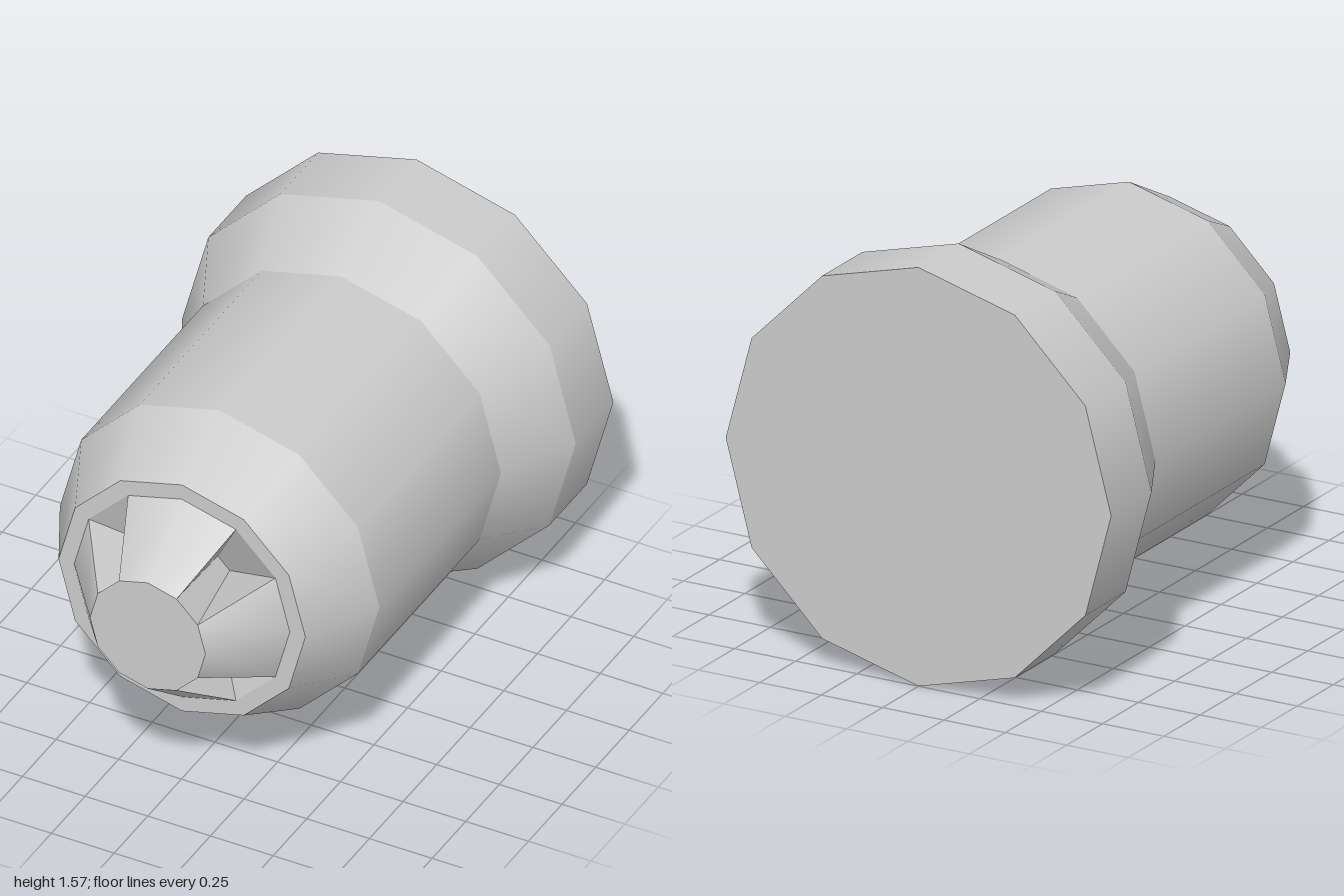
import * as THREE from 'three';

const SIDES = 12;
const DEG = Math.PI / 180;

export function createModel() {
  const model = new THREE.Group();
  const grey = new THREE.MeshStandardMaterial({ color: 0xcccccc });
  const faceted = new THREE.MeshStandardMaterial({ color: 0xcccccc, flatShading: true, side: THREE.DoubleSide });

  const add = (name, geometry, material = grey) => {
    const mesh = new THREE.Mesh(geometry, material);
    mesh.name = name;
    model.add(mesh);
  };

  // Open conical band running along z, from (r0, z0) at the back to (r1, z1)
  const band = (r0, z0, r1, z1, sides = SIDES, start = 0, length = Math.PI * 2) =>
    new THREE.CylinderGeometry(r1, r0, z1 - z0, sides, 1, true, start, length)
      .rotateX(Math.PI / 2)
      .translate(0, 0, (z0 + z1) / 2);

  // Body: wide base, taper, barrel and front bevel, with a hard edge between bands
  add('base', band(0.785, -1, 0.785, -0.72));
  add('baseTaper', band(0.785, -0.72, 0.637, -0.44));
  add('barrel', band(0.637, -0.44, 0.637, 0.465));
  add('frontBevel', band(0.637, 0.465, 0.492, 0.745));

  // Flat faces
  add('backFace', new THREE.CircleGeometry(0.785, SIDES).rotateY(Math.PI).translate(0, 0, -1));
  add('frontRim', new THREE.RingGeometry(0.43, 0.492, SIDES).translate(0, 0, 0.745));
  add('tipFace', new THREE.CircleGeometry(0.23, SIDES).translate(0, 0, 1));

  // Tip: four conical teeth with undercut notches between them
  const point = (angle, r, z) => [r * Math.cos(angle), r * Math.sin(angle), z];
  for (let i = 0; i < 4; i++) {
    const turn = i * 90;
    add('tipTooth', band(0.43, 0.745, 0.23, 1, 2, (turn - 30) * DEG, 60 * DEG));

    // Front edge, outer edge and inner edge of the notch on each side
    const [[f0, o0, i0], [f1, o1, i1]] = [30, 60].map((a) => {
      const angle = (turn + a) * DEG;
      return [point(angle, 0.23, 1), point(angle, 0.43, 0.745), point(angle, 0.13, 0.6)];
    });
    const corners = [
      f0, o0, i0, f1, i1, o1, // side walls
      f0, i0, i1, f0, i1, f1, // floor
      i0, o0, o1, i0, o1, i1, // back wall
    ];
    const notch = new THREE.BufferGeometry();
    notch.setAttribute('position', new THREE.Float32BufferAttribute(corners.flat(), 3));
    notch.computeVertexNormals();
    add('tipNotch', notch, faceted);
  }

  // Stand the model on the ground
  model.children.forEach((part) => part.geometry.translate(0, 0.785, 0));
  return model;
}
